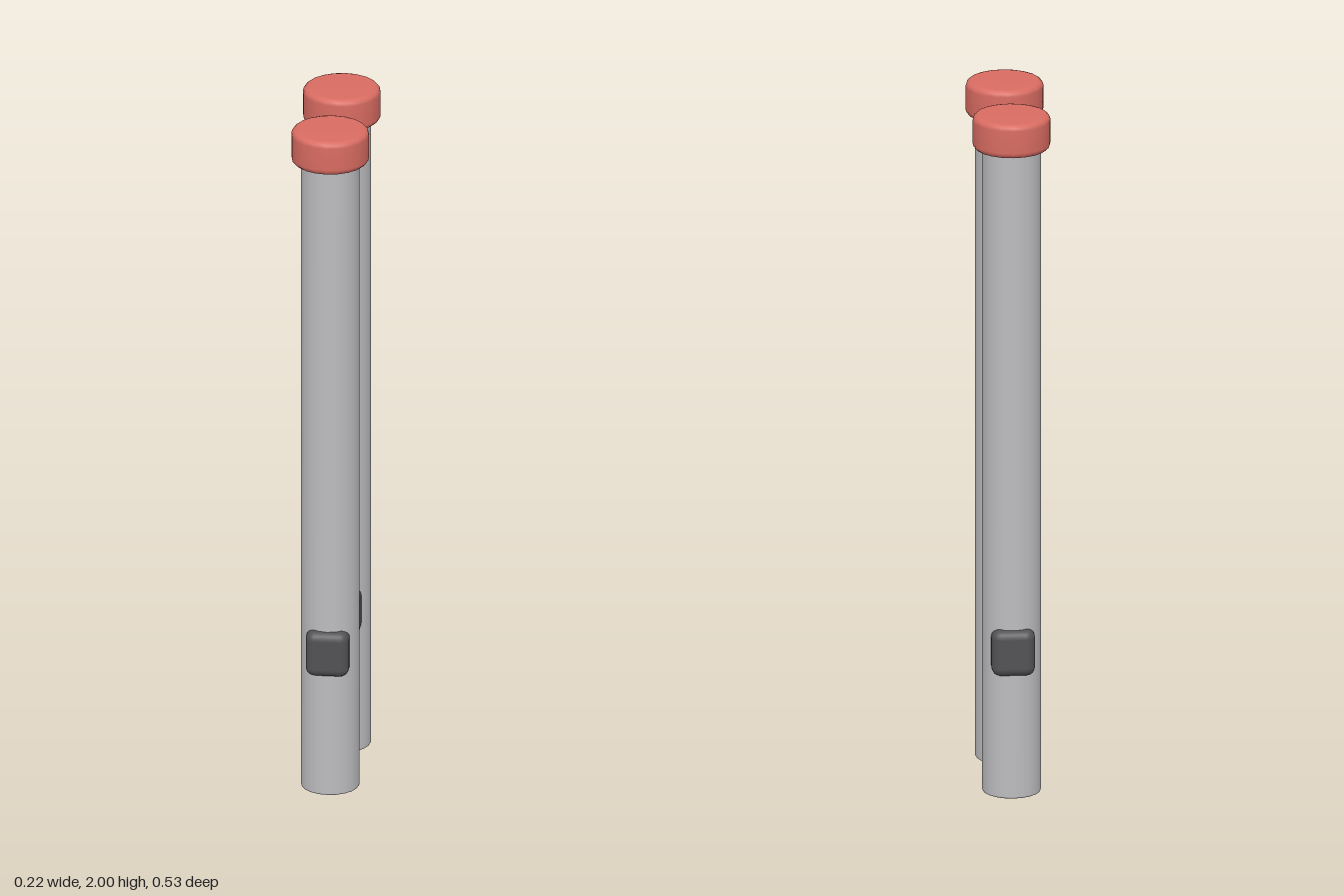
import * as THREE from 'three';
import { RoundedBoxGeometry } from 'three/addons/geometries/RoundedBoxGeometry.js';

// Solid of revolution with rounded rims, closed top and bottom
function roundedCylinder(radius, y0, y1, bevel, sides, steps) {
  const profile = [new THREE.Vector2(0, y0)];
  for (const [cy, start] of [[y0 + bevel, -Math.PI / 2], [y1 - bevel, 0]]) {
    for (let i = 0; i <= steps; i++) {
      const a = start + (i / steps) * Math.PI / 2;
      profile.push(new THREE.Vector2(radius - bevel + bevel * Math.cos(a), cy + bevel * Math.sin(a)));
    }
  }
  profile.push(new THREE.Vector2(0, y1));
  return new THREE.LatheGeometry(profile, sides);
}

export function createModel() {
  const model = new THREE.Group();
  model.name = 'twinPosts';

  const grey = new THREE.MeshStandardMaterial({ name: 'light grey', color: 0xbdbdc0 });
  const red = new THREE.MeshStandardMaterial({ name: 'soft red', color: 0xd96c62 });
  const dark = new THREE.MeshStandardMaterial({ name: 'dark grey', color: 0x525255 });

  const add = (name, geometry, material, y = 0, z = 0) => {
    const mesh = new THREE.Mesh(geometry, material);
    mesh.name = name;
    mesh.position.set(0, y, z);
    model.add(mesh);
  };

  // Two upright posts with wider caps, front and back
  const post = roundedCylinder(0.083, 0, 1.92, 0.006, 20, 2);
  const cap = roundedCylinder(0.11, 1.9, 2, 0.017, 20, 3);
  for (const [side, z] of [['front', 0.155], ['back', -0.155]]) {
    add(side + 'Post', post, grey, 0, z);
    add(side + 'Cap', cap, red, 0, z);
  }

  // Cross bar running through both posts
  add('crossBar', new RoundedBoxGeometry(0.122, 0.135, 0.512, 3, 0.025), dark, 0.432, 0);

  return model;
}
